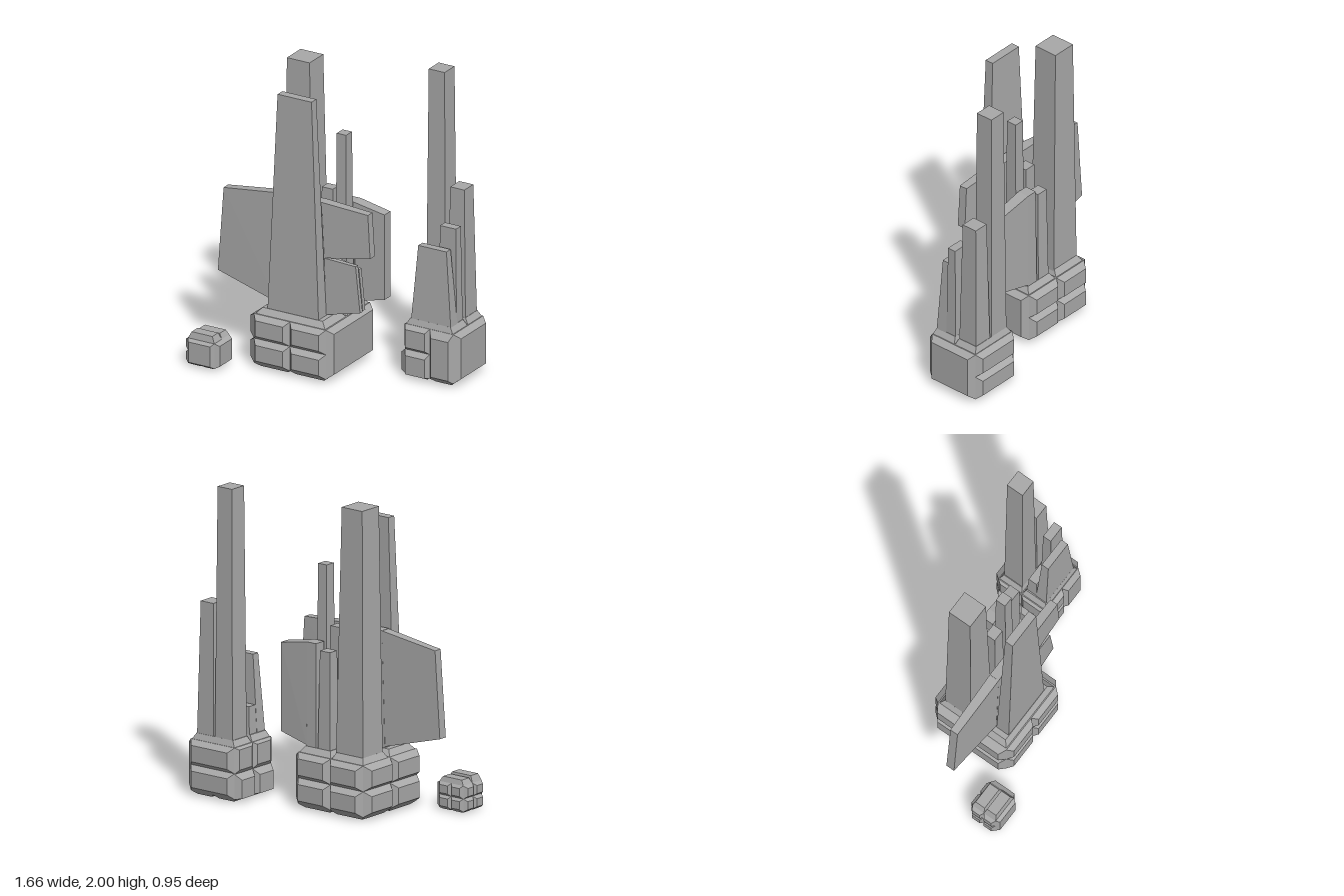
import * as THREE from 'three';
import { ConvexGeometry } from 'three/addons/geometries/ConvexGeometry.js';

const stone = new THREE.MeshStandardMaterial({ name: 'plainGrey', color: 0xa8a8a8, flatShading: true });

// Flat-sided solid around a handful of corner points
function hull(parent, name, points) {
  const mesh = new THREE.Mesh(new ConvexGeometry(points), stone);
  mesh.name = name;
  parent.add(mesh);
}

// Tapered block along an axis; each end is [position, u0, u1, v0, v1]
function taper(parent, name, axis, ...ends) {
  const points = [];
  for (const [p, u0, u1, v0, v1] of ends) {
    for (const u of [u0, u1]) for (const v of [v0, v1]) {
      const c = [u, v];
      c.splice(axis, 0, p);
      points.push(new THREE.Vector3(...c));
    }
  }
  hull(parent, name, points);
}

// Upright tower: bottom and top rectangles as [x0, x1, z0, z1]
function tower(parent, name, height, bottom, top, y = 0.38) {
  taper(parent, name, 1, [y, ...bottom], [height, ...top]);
}

// Slab wing from corners [x, y, zBack, zFront]
function wing(parent, name, corners) {
  hull(parent, name, corners.flatMap(([x, y, z0, z1]) =>
    [new THREE.Vector3(x, y, z0), new THREE.Vector3(x, y, z1)]));
}

// Chamfered panels on one face of a core, split into a grid
function panels(parent, core, axis, sign, depth, inset, us, vs) {
  const [a, b] = [0, 1, 2].filter((i) => i !== axis);
  const at = (i, t) => core[i][0] + (core[i][1] - core[i][0]) * t;
  const p = core[axis][sign > 0 ? 1 : 0];
  for (let i = 0; i + 1 < us.length; i++) for (let j = 0; j + 1 < vs.length; j++) {
    const u0 = at(a, us[i]), u1 = at(a, us[i + 1]), v0 = at(b, vs[j]), v1 = at(b, vs[j + 1]);
    taper(parent, 'facePanel', axis, [p, u0, u1, v0, v1],
      [p + sign * depth, u0 + inset, u1 - inset, v0 + inset, v1 - inset]);
  }
}

// Base block: a core box with panels; faces are [axis, sign, depth, us, vs]
function base(name, core, inset, faces) {
  const group = new THREE.Group();
  group.name = name;
  const [x, y, z] = core;
  taper(group, 'core', 0, [x[0], ...y, ...z], [x[1], ...y, ...z]);
  for (const [axis, sign, depth, us, vs] of faces) panels(group, core, axis, sign, depth, inset, us, vs);
  return group;
}

const ONE = [0, 1], TWO = [0, 0.5, 1];

export function createModel() {
  const model = new THREE.Group();
  model.name = 'blockCity';

  // Large base
  const large = base('largeBlock', [[-0.44, 0.08], [0.025, 0.355], [-0.26, 0.265]], 0.03, [
    [0, -1, 0.045, TWO, TWO], [0, 1, 0.04, ONE, ONE],
    [2, -1, 0.04, TWO, TWO], [2, 1, 0.036, TWO, TWO],
    [1, -1, 0.025, TWO, TWO],
  ]);
  // Plinths under the towers
  taper(large, 'frontPlinth', 1, [0.345, -0.44, 0.08, 0, 0.265], [0.393, -0.4, 0.035, 0.04, 0.23]);
  taper(large, 'backRightPlinth', 1, [0.345, -0.44, -0.18, -0.26, 0], [0.393, -0.41, -0.2, -0.225, -0.03]);
  taper(large, 'backLeftPlinth', 1, [0.345, -0.18, 0.08, -0.26, 0], [0.393, -0.15, 0.05, -0.225, -0.03]);

  // Towers on the large base
  tower(large, 'broadFrontTower', 1.837, [-0.365, 0.005, 0.135, 0.228], [-0.302, -0.056, 0.155, 0.212]);
  tower(large, 'tallBackTower', 1.97, [-0.41, -0.195, -0.225, -0.032], [-0.392, -0.228, -0.21, -0.047]);
  tower(large, 'thinTower', 1.543, [-0.036, 0.046, -0.125, -0.035], [-0.03, 0.038, -0.115, -0.045]);
  tower(large, 'innerTower', 1.16, [-0.145, -0.05, -0.125, -0.035], [-0.138, -0.058, -0.115, -0.045]);
  tower(large, 'rearTower', 1.02, [-0.145, -0.05, -0.225, -0.135], [-0.138, -0.058, -0.215, -0.145]);
  tower(large, 'rearWingTower', 1.06, [-0.036, 0.046, -0.225, -0.135], [-0.03, 0.04, -0.22, -0.14]);
  wing(large, 'rearWing', [[0.04, 0.4, -0.225, -0.138], [0.04, 1.06, -0.22, -0.14],
    [0.255, 1.02, -0.215, -0.145], [0.255, 0.45, -0.215, -0.145]]);

  // Winged slab
  tower(large, 'slabBody', 1.138, [-0.362, 0.002, 0.048, 0.132], [-0.33, -0.035, 0.058, 0.125]);
  wing(large, 'rightWing', [[-0.36, 0.4, 0.05, 0.13], [-0.33, 1.136, 0.058, 0.125],
    [-0.75, 1.08, 0.064, 0.118], [-0.79, 0.52, 0.062, 0.12]]);
  wing(large, 'leftUpperWing', [[-0.015, 0.77, 0.052, 0.128], [-0.035, 1.138, 0.058, 0.125],
    [0.295, 1.12, 0.064, 0.118], [0.312, 0.832, 0.062, 0.12]]);
  wing(large, 'leftLowerWingFront', [[0, 0.395, 0.092, 0.132], [-0.015, 0.77, 0.092, 0.128],
    [0.21, 0.76, 0.096, 0.125], [0.243, 0.455, 0.096, 0.126]]);
  wing(large, 'leftLowerWingBack', [[0, 0.395, 0.05, 0.088], [-0.015, 0.77, 0.052, 0.088],
    [0.21, 0.725, 0.055, 0.084], [0.238, 0.455, 0.055, 0.084]]);
  model.add(large);

  // Medium base
  const medium = base('mediumBlock', [[0.44, 0.79], [0.025, 0.355], [-0.44, -0.085]], 0.03, [
    [0, 1, 0.038, ONE, ONE], [2, -1, 0.037, ONE, TWO],
    [1, -1, 0.025, TWO, TWO],
  ]);
  // Side panels of uneven height
  for (const [z0, z1] of [[-0.44, -0.265], [-0.265, -0.085]]) {
    const lowX = 0.4, highX = 0.422, i = 0.025;
    taper(medium, 'facePanel', 0, [0.44, 0.025, 0.185, z0, z1], [lowX, 0.03, 0.15, z0 + i, z1 - i]);
    taper(medium, 'facePanel', 0, [0.44, 0.185, 0.355, z0, z1], [highX, 0.21, 0.34, z0 + i, z1 - i]);
  }
  // Front and back panels: halved on one side, whole on the other
  for (const [z, out] of [[-0.085, -0.053]]) {
    taper(medium, 'facePanel', 2, [z, 0.44, 0.62, 0.025, 0.185], [out, 0.46, 0.6, 0.03, 0.155]);
    taper(medium, 'facePanel', 2, [z, 0.44, 0.62, 0.185, 0.355], [out, 0.46, 0.6, 0.21, 0.33]);
    taper(medium, 'facePanel', 2, [z, 0.62, 0.79, 0.025, 0.355], [out, 0.645, 0.77, 0.05, 0.31]);
  }
  taper(medium, 'backPlinth', 1, [0.345, 0.44, 0.79, -0.44, -0.265], [0.393, 0.47, 0.76, -0.42, -0.28]);
  taper(medium, 'frontPlinth', 1, [0.345, 0.44, 0.79, -0.265, -0.085], [0.393, 0.47, 0.76, -0.25, -0.1]);

  // Towers on the medium base
  tower(medium, 'tallestTower', 2, [0.474, 0.614, -0.42, -0.28], [0.487, 0.602, -0.408, -0.29]);
  tower(medium, 'backTower', 1.24, [0.627, 0.758, -0.418, -0.282], [0.64, 0.742, -0.402, -0.295]);
  tower(medium, 'middleTower', 1.02, [0.627, 0.758, -0.25, -0.175], [0.635, 0.75, -0.24, -0.182]);
  tower(medium, 'middleLowTower', 0.57, [0.478, 0.614, -0.25, -0.175], [0.486, 0.607, -0.242, -0.182]);
  tower(medium, 'frontTower', 0.885, [0.475, 0.763, -0.178, -0.1], [0.518, 0.722, -0.165, -0.115]);
  model.add(medium);

  // Small block
  const small = base('smallBlock', [[-0.805, -0.615], [0.01, 0.178], [0.272, 0.45]], 0.016, [
    [0, -1, 0.024, TWO, TWO], [0, 1, 0.03, ONE, ONE],
    [2, -1, 0.018, TWO, TWO], [2, 1, 0.024, ONE, ONE],
    [1, -1, 0.01, TWO, TWO],
  ]);
  taper(small, 'frontCap', 1, [0.178, -0.805, -0.615, 0.361, 0.45], [0.22, -0.785, -0.635, 0.37, 0.44]);
  taper(small, 'backCap', 1, [0.178, -0.805, -0.615, 0.272, 0.361], [0.21, -0.785, -0.635, 0.282, 0.352]);
  model.add(small);

  return model;
}
